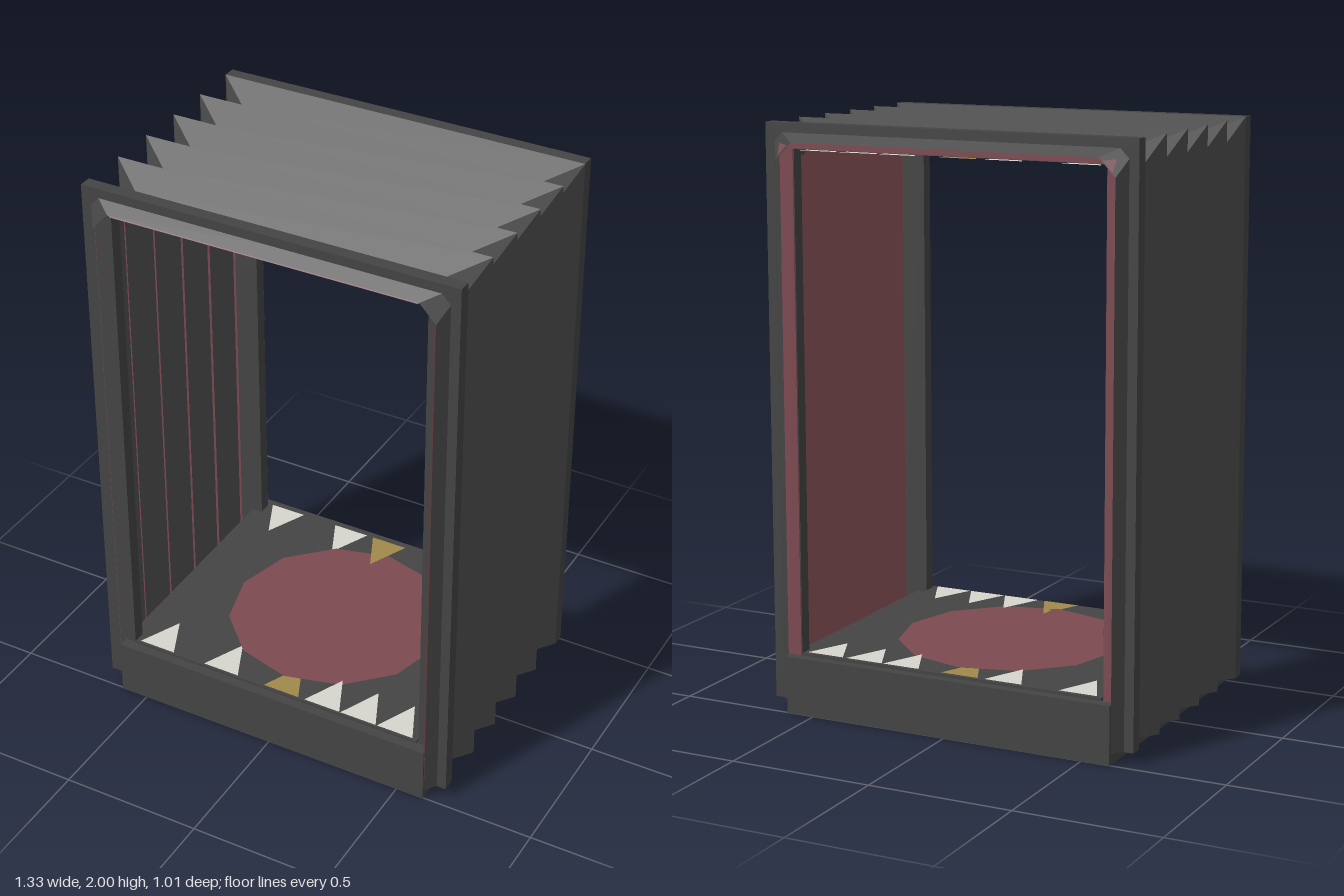
import * as THREE from 'three';

const mat = (name, color, side = THREE.FrontSide) => {
  const m = new THREE.MeshStandardMaterial({ color, side });
  m.name = name;
  return m;
};

// Flat-shaded geometry from a list of triangles (arrays of three points)
function facets(tris) {
  const g = new THREE.BufferGeometry();
  g.setAttribute('position', new THREE.Float32BufferAttribute(tris.flat(2), 3));
  g.computeVertexNormals();
  return g;
}
const quad = (a, b, c, d) => [[a, b, c], [a, c, d]];
const lerp = (a, b, t) => a.map((v, i) => v + (b[i] - v) * t);

// Arch-shaped outline of one fold: sharp corners on ridges, clipped in valleys
function foldRing(z, ridge, inset = 0) {
  const half = ridge
    ? [[0.667, 0.04], [0.667, 2.0], [0.667, 2.0]]
    : [[0.605, 0.04], [0.605, 1.88], [0.548, 1.94]];
  const right = half.map(([x, y], i) => [x - inset, i ? y - inset : y, z]);
  const left = right.map(([x, y, zz]) => [-x, y, zz]).reverse();
  return [...right, ...left];
}

// Upside-down U plate, open at the bottom
function archPlate(outX, outY, inX, inY, depth) {
  const s = new THREE.Shape([
    [outX, 0.04], [outX, outY], [-outX, outY], [-outX, 0.04],
    [-inX, 0.04], [-inX, inY], [inX, inY], [inX, 0.04],
  ].map(([x, y]) => new THREE.Vector2(x, y)));
  return new THREE.ExtrudeGeometry(s, { depth, bevelEnabled: false });
}

export function createModel() {
  const group = new THREE.Group();
  const rubber = mat('dark rubber', 0x444444);
  const rubberSheet = mat('dark rubber sheet', 0x444444, THREE.DoubleSide);
  const red = mat('dull red', 0x7d4a51, THREE.DoubleSide);
  const white = mat('tooth white', 0xd6d6ce, THREE.DoubleSide);
  const gold = mat('tooth gold', 0xa08a4a, THREE.DoubleSide);
  const add = (name, geo, material, x = 0, y = 0, z = 0) => {
    const m = new THREE.Mesh(geo, material);
    m.name = name;
    m.position.set(x, y, z);
    group.add(m);
    return m;
  };

  // Pleated bellows, red lining on the rear-facing folds, red corner gussets
  const pitch = 0.084, folds = 12;
  const shell = [], lining = [], gussets = [];
  for (let i = 0; i < folds; i++) {
    const z = -0.504 + pitch * i;
    const ridge = i % 2 === 1;
    const a = foldRing(z, ridge), b = foldRing(z + pitch, !ridge);
    for (let k = 0; k < 5; k++) shell.push(...quad(a[k], a[k + 1], b[k + 1], b[k]));
    if (ridge) {
      const p = foldRing(z - 0.003, true, 0.007), q = foldRing(z + pitch - 0.003, false, 0.007);
      for (const k of [0, 2, 4]) lining.push(...quad(p[k], p[k + 1], q[k + 1], q[k]));
    } else {
      for (const s of [1, -1]) {
        const out = ([x, y, zz]) => [s * (x + 0.003), y + 0.003, zz - 0.003];
        const mid = lerp(a[1], a[2], 0.5);
        gussets.push([lerp(a[1], a[2], 0.2), lerp(a[1], a[2], 0.8), lerp(mid, b[1], 0.25)].map(out));
      }
    }
  }
  add('bellows', facets(shell), rubberSheet);
  add('bellowsLining', facets(lining), red);
  add('cornerGussets', facets(gussets), red);

  // End frames
  const frame = archPlate(0.667, 2.0, 0.56, 1.915, 0.045);
  add('frontFrame', frame, rubber, 0, 0, 0.42);
  add('backFrame', frame, rubber, 0, 0, -0.465);
  add('backFrameLining', archPlate(0.612, 1.94, 0.562, 1.917, 0.003), red, 0, 0, -0.469);

  // Floor block with a raised walkway plate and round turntable
  add('floorBlock', new THREE.BoxGeometry(1.2, 0.2, 1.008), rubber, 0, 0.1, 0);
  add('floorPlate', new THREE.BoxGeometry(1.11, 0.01, 0.94), rubber, 0, 0.205, 0);
  const disc = add('turntable', new THREE.CircleGeometry(0.39, 12), red, 0, 0.213, 0);
  disc.rotation.x = -Math.PI / 2;

  // Rows of teeth on the floor and under the ceiling, pointing inwards
  const rows = [
    { z: 0.465, dir: -1, xs: [-0.47, -0.21, 0.19, 0.33, 0.47], goldX: 0.03 },
    { z: -0.465, dir: 1, xs: [0.47, 0.32, 0.18, -0.2, -0.47], goldX: -0.04 },
  ];
  const tooth = (x, y, z, dir) => {
    const t = [[x - 0.068, y, z], [x + 0.068, y, z], [x, y, z + dir * 0.15]];
    const faceUp = y < 1;
    return faceUp === (dir < 0) ? t : [t[1], t[0], t[2]];
  };
  for (const [place, y] of [['floor', 0.213], ['ceiling', 1.912]]) {
    const whites = [], golds = [];
    for (const { z, dir, xs, goldX } of rows) {
      for (const x of xs) whites.push(tooth(x, y, z, dir));
      golds.push(tooth(goldX, y, z, dir));
    }
    add(place + 'Teeth', facets(whites), white);
    add(place + 'GoldTeeth', facets(golds), gold);
  }
  return group;
}
